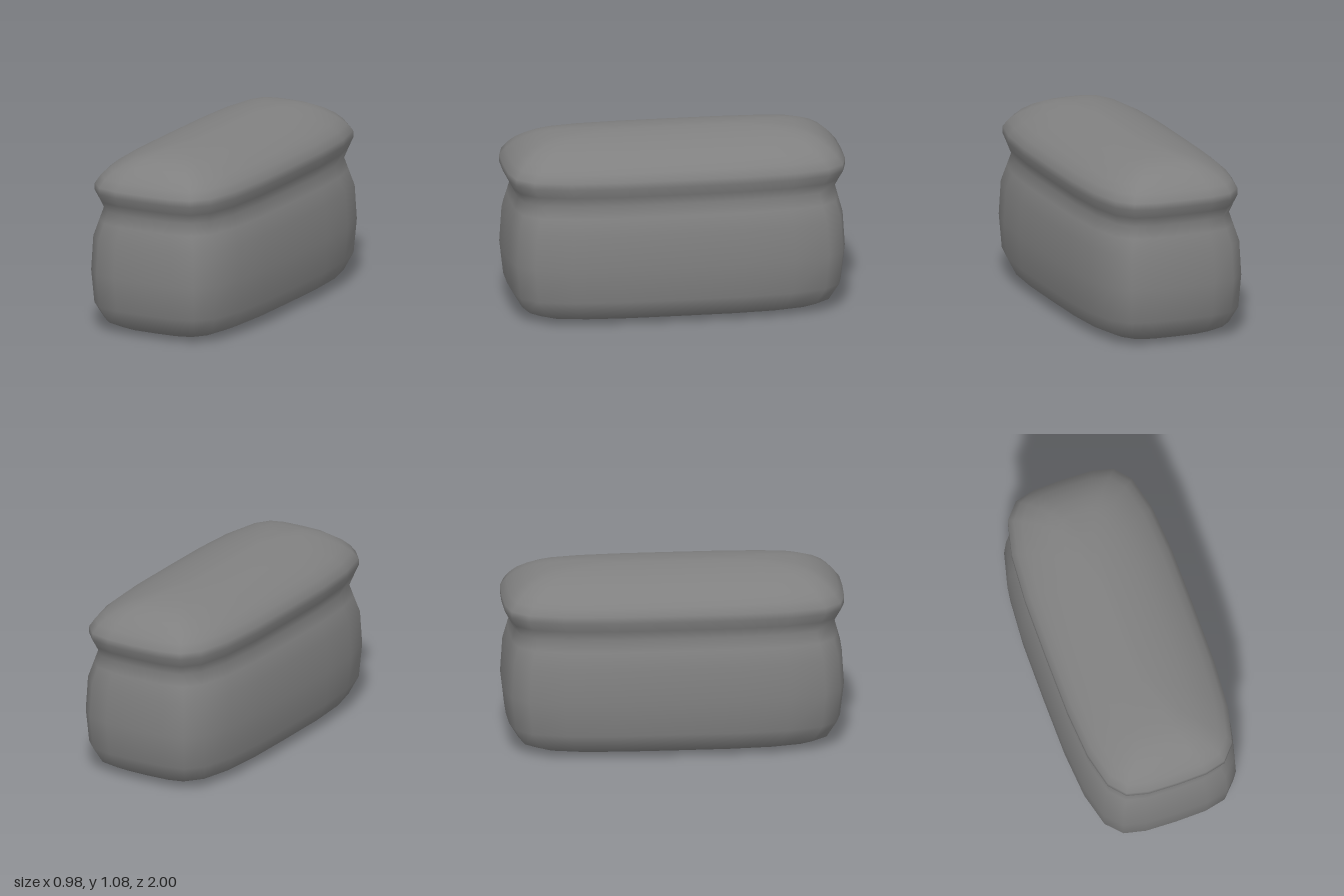
import * as THREE from 'three';

// Rounded-rectangle outline, one quarter, from front centre to side centre (unit x, z)
const quarter = [[0, 1], [0.39, 0.995], [0.66, 0.965], [0.84, 0.87], [0.95, 0.66], [0.995, 0.37]];

// Horizontal slices: height, half width, half length
const slices = [
  [0, 0.19, 0.73], [0.015, 0.345, 0.84], [0.055, 0.43, 0.915], [0.155, 0.475, 0.975],
  [0.355, 0.488, 0.998], [0.56, 0.478, 0.985], [0.66, 0.444, 0.958], [0.73, 0.42, 0.94],
  [0.79, 0.44, 0.97], [0.845, 0.46, 1], [0.885, 0.458, 1], [0.93, 0.43, 0.965],
  [0.97, 0.382, 0.925], [1.01, 0.31, 0.867], [1.04, 0.24, 0.8], [1.06, 0.165, 0.72],
  [1.075, 0.09, 0.58], [1.08, 0.02, 0.4],
];

// Mirror the quarter into a closed outline, counterclockwise from above
function makeOutline() {
  const half = [...quarter, [1, 0], ...quarter.slice(1).reverse().map(([x, z]) => [x, -z])];
  return [...half, ...half.map(([x, z]) => [-x, -z])];
}

function loftGeometry() {
  const outline = makeOutline();
  const n = outline.length;
  const positions = [];
  const index = [];
  for (const [y, w, l] of slices) {
    for (const [x, z] of outline) positions.push(x * w, y, z * l);
  }
  const bottom = slices.length * n;
  const top = bottom + 1;
  positions.push(0, 0, 0, 0, slices[slices.length - 1][0], 0);
  for (let i = 0; i < n; i++) {
    const j = (i + 1) % n;
    for (let s = 0; s < slices.length - 1; s++) {
      const a = s * n + i, b = s * n + j;
      index.push(a, b, b + n, a, b + n, a + n);
    }
    // Close the underside and the crown
    const last = (slices.length - 1) * n;
    index.push(bottom, j, i, top, last + i, last + j);
  }
  const geometry = new THREE.BufferGeometry();
  geometry.setAttribute('position', new THREE.Float32BufferAttribute(positions, 3));
  geometry.setIndex(index);
  geometry.computeVertexNormals();
  return geometry;
}

export function createModel() {
  const group = new THREE.Group();
  group.name = 'breadLoaf';
  const crust = new THREE.MeshStandardMaterial({ color: 0x808080 });
  crust.name = 'crust grey';
  // Bulging body, pinched waist and domed crown in one smooth skin
  const loaf = new THREE.Mesh(loftGeometry(), crust);
  loaf.name = 'loaf';
  group.add(loaf);
  return group;
}
